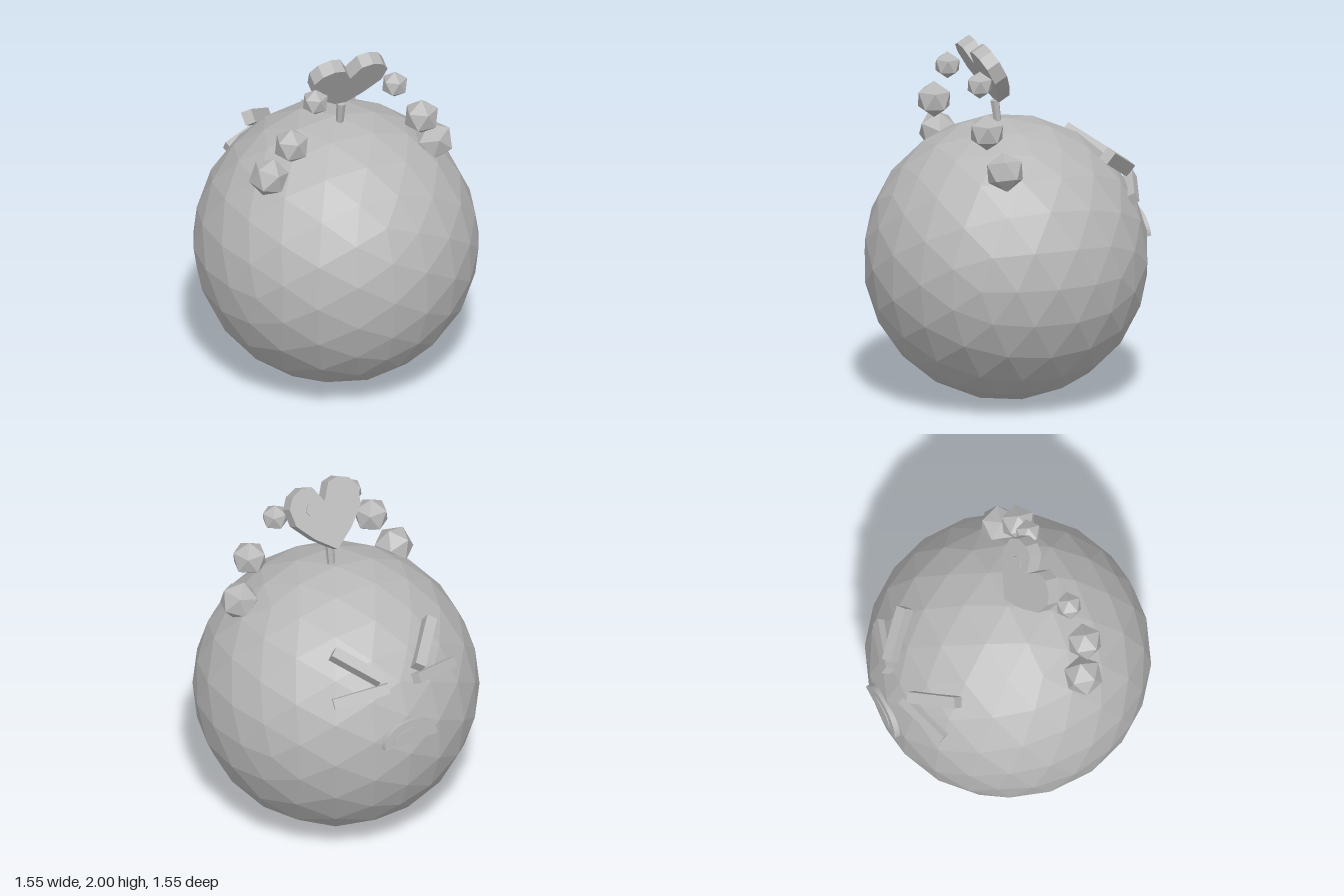
import * as THREE from 'three';

const grey = new THREE.MeshStandardMaterial({ color: 0xb8b8b8 });
grey.name = 'plain grey';

// Mesh with one flat normal per face
function part(name, geometry, parent) {
  const g = geometry.index ? geometry.toNonIndexed() : geometry;
  g.computeVertexNormals();
  const mesh = new THREE.Mesh(g, grey);
  mesh.name = name;
  parent.add(mesh);
  return mesh;
}

// Box whose length follows `along` and whose depth follows `out`
function bar(name, size, centre, along, out, parent) {
  const x = new THREE.Vector3(...along).normalize();
  const y = new THREE.Vector3().crossVectors(new THREE.Vector3(...out), x).normalize();
  const z = new THREE.Vector3().crossVectors(x, y);
  const mesh = part(name, new THREE.BoxGeometry(...size), parent);
  mesh.quaternion.setFromRotationMatrix(new THREE.Matrix4().makeBasis(x, y, z));
  mesh.position.set(...centre);
}

// Half disc with its flat side down
function halfDisc(rx, ry, depth) {
  const shape = new THREE.Shape();
  shape.absellipse(0, 0, rx, ry, 0, Math.PI, false);
  shape.closePath();
  return new THREE.ExtrudeGeometry(shape, { depth, bevelEnabled: false, curveSegments: 12 });
}

export function createModel() {
  const model = new THREE.Group();
  model.name = 'roundCreature';

  // Faceted round body
  part('body', new THREE.IcosahedronGeometry(0.773, 3), model).position.set(0, 0.775, 0.004);

  // Stalk on top of the head
  const stalk = part('stalk', new THREE.CylinderGeometry(0.025, 0.021, 0.14, 6), model);
  stalk.position.set(0, 1.585, 0.06);
  stalk.rotation.x = 0.13;

  // Heart plate leaning forward, with a small stud on its back
  const heart = new THREE.Group();
  heart.name = 'heart';
  heart.position.set(0, 1.672, -0.016);
  heart.rotation.x = Math.PI / 6;
  model.add(heart);
  const half = [[0.115, 0.09], [0.203, 0.19], [0.216, 0.29], [0.178, 0.35], [0.112, 0.378], [0.05, 0.363]];
  const outline = [[0, 0], ...half, [0, 0.272], ...half.map(([x, y]) => [-x, y]).reverse()];
  const heartShape = new THREE.Shape(outline.map(([x, y]) => new THREE.Vector2(x, y)));
  part('heartPlate', new THREE.ExtrudeGeometry(heartShape, { depth: 0.08, bevelEnabled: false }), heart);
  const stud = part('heartStud', new THREE.CylinderGeometry(0.037, 0.037, 0.03, 6).rotateY(Math.PI / 6), heart);
  stud.rotation.x = Math.PI / 2;
  stud.position.set(0.09, 0.25, 0.005);

  for (const s of [1, -1]) {
    const side = s > 0 ? 'left' : 'right';

    // Three beads shrinking upward, each with a corner at the top
    const beads = [[0.49, 1.382, 0.205, 0.11, 0.3], [0.385, 1.585, 0.268, 0.1, 0], [0.235, 1.81, 0.25, 0.075, 0]];
    beads.forEach(([x, y, z, r, tilt], i) => {
      const g = new THREE.IcosahedronGeometry(r, 0).rotateX(-Math.atan((1 + Math.sqrt(5)) / 2));
      const bead = part(`${side}Bead${i + 1}`, g, model);
      bead.position.set(s * x, y, z);
      bead.rotation.z = s * tilt;
    });

    // Slanted brow and narrow eye on the back
    bar(`${side}Brow`, [0.3, 0.06, 0.075], [s * 0.212, 1.3, -0.556],
      [s * 0.63, 0.44, 0.63], [s * 0.075, 0.78, -0.62], model);
    bar(`${side}Eye`, [0.31, 0.057, 0.055], [s * 0.23, 1.157, -0.63],
      [s * 0.93, -0.19, 0.32], [s * 0.3, 0.49, -0.82], model);
  }

  // Downturned half-disc mouth with a thin inner plate
  const mouth = new THREE.Group();
  mouth.name = 'mouth';
  mouth.position.set(0, 0.853, -0.735);
  mouth.rotation.set(0.12, Math.PI, 0, 'YXZ');
  mouth.rotation.x = -0.12;
  model.add(mouth);
  part('mouthPlate', halfDisc(0.165, 0.13, 0.038), mouth);
  part('mouthInner', halfDisc(0.105, 0.07, 0.005), mouth).position.set(0, 0.015, 0.038);

  return model;
}
